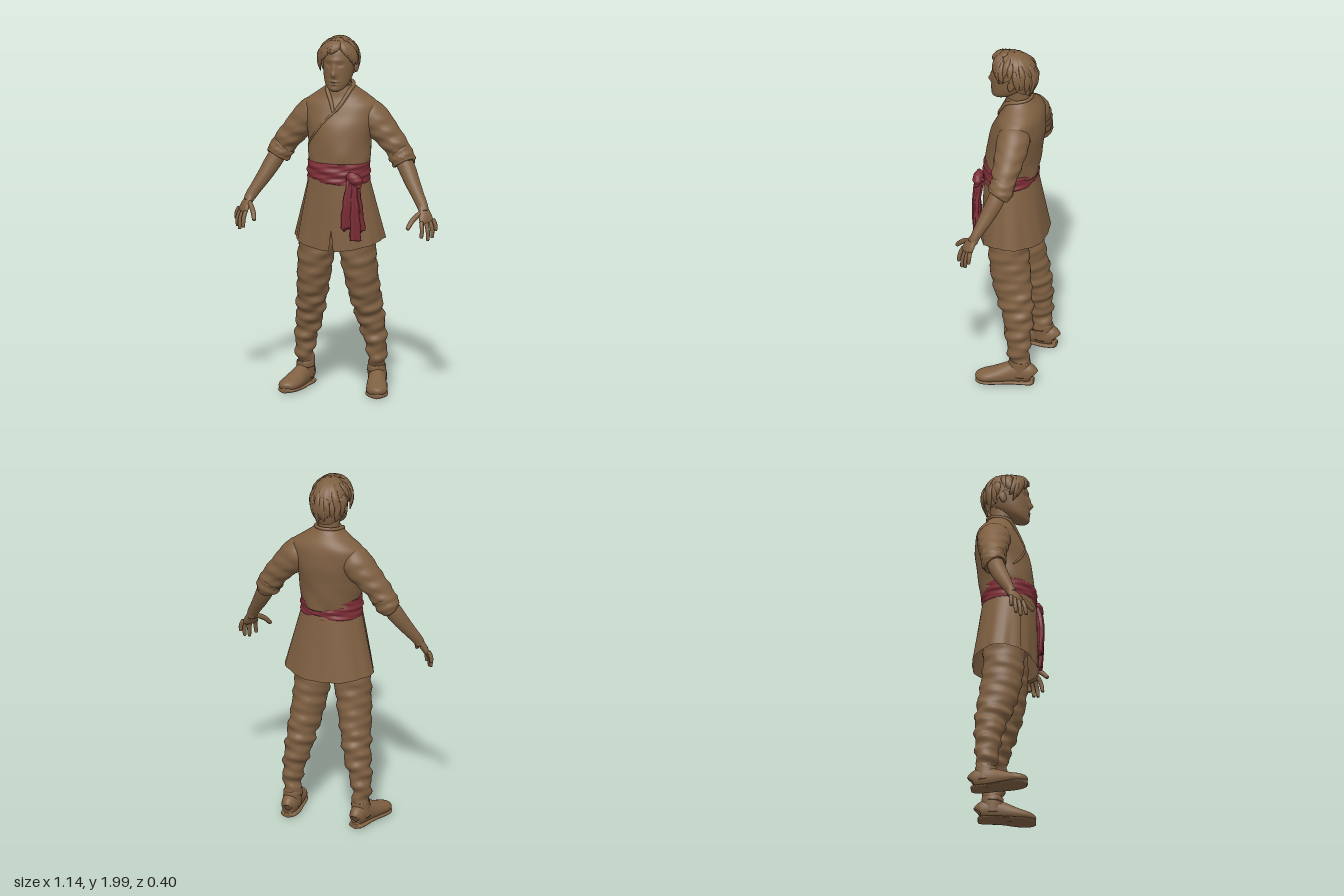
import * as THREE from 'three';

const V = (x, y, z) => new THREE.Vector3(x, y, z);
const brown = new THREE.MeshStandardMaterial({ color: 0x7f6042 });
brown.name = 'brown';
const red = new THREE.MeshStandardMaterial({ color: 0x7c2d36 });
red.name = 'sash red';
const cloth = brown;
cloth.side = red.side = THREE.DoubleSide;

// Joins rings of points into one smooth skin; closed rings may be capped.
function skin(rings, closed = true, caps = true) {
  const n = rings[0].length, pos = [], idx = [];
  rings.forEach(r => r.forEach(p => pos.push(p.x, p.y, p.z)));
  for (let i = 0; i < rings.length - 1; i++) {
    for (let j = 0; j < (closed ? n : n - 1); j++) {
      const a = i * n + j, b = i * n + (j + 1) % n;
      idx.push(a, b, a + n, b, b + n, a + n);
    }
  }
  if (closed && caps) {
    [0, rings.length - 1].forEach((row, end) => {
      const c = V(0, 0, 0), k = pos.length / 3;
      rings[row].forEach(p => c.addScaledVector(p, 1 / n));
      pos.push(c.x, c.y, c.z);
      for (let j = 0; j < n; j++) {
        const a = row * n + j, b = row * n + (j + 1) % n;
        idx.push(k, end ? a : b, end ? b : a);
      }
    });
  }
  const g = new THREE.BufferGeometry();
  g.setAttribute('position', new THREE.Float32BufferAttribute(pos, 3));
  g.setIndex(idx);
  g.computeVertexNormals();
  return g;
}

// Sweeps an ellipse through sections [x, y, z, a, b]; a lies along ref.
function sweep(sections, { ref = V(1, 0, 0), axis, rows = 24, seg = 24, warp } = {}) {
  const path = new THREE.CatmullRomCurve3(sections.map(s => V(s[0], s[1], s[2])), false, 'catmullrom', 0.5);
  const size = new THREE.CatmullRomCurve3(sections.map(s => V(s[3], s[4] ?? s[3], 0)), false, 'catmullrom', 0.5);
  const rings = [];
  for (let i = 0; i <= rows; i++) {
    const t = i / rows, c = path.getPoint(t), s = size.getPoint(t);
    const T = axis || path.getTangent(t);
    const A = ref.clone().addScaledVector(T, -ref.dot(T)).normalize();
    const B = T.clone().cross(A);
    rings.push(Array.from({ length: seg }, (_, j) => {
      const w = j / seg * Math.PI * 2;
      const p = c.clone().addScaledVector(A, Math.cos(w) * s.x).addScaledVector(B, Math.sin(w) * s.y);
      if (warp) warp(p, c, t, w);
      return p;
    }));
  }
  return skin(rings);
}

// Cloth folds: pushes points in and out in slanting waves.
const folds = (amp, fy, fx = 14, fz = 17) => (p, c, t) => {
  const d = p.clone().sub(c).normalize();
  const w = Math.sin(p.y * fy + p.x * fx + p.z * fz) + 0.6 * Math.sin(p.y * fy * 1.7 - p.x * fx * 1.5 + p.z * 9 + 2);
  p.addScaledVector(d, amp(t, p) * w);
};

function add(parent, name, geometry, material = brown) {
  const m = new THREE.Mesh(geometry, material);
  m.name = name;
  parent.add(m);
  return m;
}

const UP = V(0, 1, 0);
const upright = rows => rows.map(([y, z, a, b]) => [0, y, z, a, b]);

// Jacket profile: y, centre z, half width, half depth.
const TORSO = [[1.24, 0, .162, .143], [1.32, -.005, .168, .148], [1.42, -.018, .175, .15], [1.5, -.032, .19, .147],
  [1.56, -.045, .204, .132], [1.61, -.053, .2, .118], [1.65, -.056, .15, .1], [1.69, -.045, .096, .08], [1.715, -.037, .07, .07]];
function chest(x, y) {
  let i = 0;
  while (i < TORSO.length - 2 && TORSO[i + 1][0] < y) i++;
  const k = (y - TORSO[i][0]) / (TORSO[i + 1][0] - TORSO[i][0]);
  const [, z, a, b] = TORSO[i].map((v, n) => v + (TORSO[i + 1][n] - v) * k);
  return z + b * Math.sqrt(Math.max(0, 1 - (x / a) ** 2));
}

// Face relief: bumps [x, y, spread x, spread y, depth].
const FACE = [[0, 1.797, .014, .018, .021], [0, 1.83, .01, .025, .009], [.034, 1.85, .018, .012, -.011], [-.034, 1.85, .018, .012, -.011],
  [.034, 1.853, .011, .006, .005], [-.034, 1.853, .011, .006, .005], [0, 1.875, .05, .01, .004], [0, 1.757, .024, .006, .008],
  [0, 1.741, .02, .006, .007], [0, 1.749, .026, .003, -.004], [0, 1.715, .022, .012, .005]];
function faceWarp(p) {
  if (p.z < .04) return;
  let d = 0;
  for (const [x, y, sx, sy, k] of FACE) d += k * Math.exp(-(((p.x - x) / sx) ** 2) - ((p.y - y) / sy) ** 2);
  p.z += d;
}

// Hair shell: u turns round the head from the front, s runs crown to hairline.
const HAIRLINE = [1.925, 1.92, 1.89, 1.83, 1.86, 1.79, 1.765, 1.75, 1.745];
function hairPoint(u, s, grow = 1) {
  const f = Math.min(7.999, Math.abs(Math.atan2(Math.sin(u), Math.cos(u))) / Math.PI * 8), i = Math.floor(f);
  const low = HAIRLINE[i] + (HAIRLINE[i + 1] - HAIRLINE[i]) * (f - i), yc = 1.865, h = .122;
  const end = low > yc ? Math.acos((low - yc) / h) : Math.PI / 2 + (yc - low) / h;
  const a = s * end, down = Math.max(0, a - Math.PI / 2);
  const r = (down ? 1 - .2 * down * down : Math.sin(a)) * grow;
  return V(Math.sin(u) * .103 * r, yc + (down ? -down * h : Math.cos(a) * h * grow), Math.cos(u) * .13 * r - .008);
}

function buildHead(root) {
  const head = new THREE.Group();
  head.name = 'head';
  root.add(head);
  add(head, 'face', sweep(upright([[1.697, .08, .02, .025], [1.71, .068, .043, .046], [1.735, .045, .064, .071], [1.77, .02, .077, .097],
    [1.81, .005, .084, .112], [1.85, -.003, .088, .118], [1.89, -.008, .088, .118], [1.93, -.01, .08, .105], [1.96, -.01, .055, .075],
    [1.975, -.01, .02, .03]]), { axis: UP, rows: 80, seg: 72, warp: faceWarp }));
  add(head, 'neck', sweep([[0, 1.56, -.05, .08, .08], [0, 1.65, -.045, .063, .07], [0, 1.72, -.03, .058, .064], [0, 1.8, -.02, .06, .075]], { axis: UP }));
  for (const s of [-1, 1]) {
    const ear = add(head, 'ear', new THREE.SphereGeometry(1, 16, 12));
    ear.scale.set(.011, .034, .02);
    ear.position.set(s * .092, 1.822, -.018);
    ear.rotation.set(-.15, s * -.35, 0);
  }
  const rings = [];
  for (let i = 0; i <= 24; i++) {
    rings.push(Array.from({ length: 72 }, (_, j) => {
      const u = -j / 72 * Math.PI * 2, s = .02 + .98 * i / 24;
      return hairPoint(u, s, 1 + .022 * s * Math.sin(13 * u + 5 * s) + .014 * s * Math.sin(23 * u - 7 * s));
    }));
  }
  add(head, 'hairCap', skin(rings, true, false), cloth);
  // Overlapping locks sweep from the crown; a seeded sequence varies them.
  let seed = 7;
  const rnd = () => (seed = (seed * 16807) % 2147483647) / 2147483647;
  const lock = (u, s0, s1, twist, r, lift = 1.03) => {
    const sec = [0, .35, .7, 1].map((k, i) => {
      const p = hairPoint(u + twist * k, s0 + (s1 - s0) * k, lift + [-.03, .01, .015, .01][i]);
      return [p.x, p.y, p.z, r * [.6, 1, .8, .1][i], r * [.4, .5, .4, .08][i]];
    });
    add(head, 'hairLock', sweep(sec, { ref: V(Math.cos(u), 0, -Math.sin(u)), rows: 10, seg: 10 }));
  };
  for (let i = 0; i < 34; i++) lock(i * 2.4, .2 + .4 * rnd(), .85 + .18 * rnd(), (rnd() - .3) * .5, .014 + .008 * rnd(), 1);
  // Side-parted fringe
  for (let i = 0; i < 8; i++) lock(.3 - i * .17, .55, 1.08 + .1 * rnd(), -.5, .024, 1.05);
  for (let i = 0; i < 4; i++) lock(.4 + i * .2, .45, 1.02, .35, .022, 1.04);
}

function buildArm(side) {
  const arm = new THREE.Group(), ref = V(0, 0, 1);
  arm.name = side + 'Arm';
  add(arm, 'sleeve', sweep([[.12, 1.565, -.06, .07, .07], [.16, 1.54, -.06, .09, .086], [.205, 1.495, -.06, .088, .084], [.26, 1.435, -.057, .08, .073],
    [.31, 1.375, -.052, .07, .067], [.342, 1.322, -.047, .062, .062]], { ref, rows: 44, seg: 36, warp: folds(t => .0045 * t, 75, -30) }));
  add(arm, 'rolledCuff', sweep([[.322, 1.352, -.05, .058, .058], [.327, 1.345, -.049, .068, .068], [.342, 1.318, -.046, .068, .068],
    [.357, 1.292, -.042, .066, .064], [.36, 1.286, -.04, .05, .05]], { ref, rows: 20, seg: 32, warp: folds(() => .0025, 130, -60) }));
  add(arm, 'forearm', sweep([[.335, 1.33, -.045, .045], [.375, 1.262, -.025, .047, .047], [.415, 1.19, .005, .042, .041], [.455, 1.125, .035, .033, .034],
    [.485, 1.075, .058, .026, .03], [.495, 1.05, .068, .028, .025]], { ref }));
  const across = V(-.055, 0, .065);
  add(arm, 'palm', sweep([[.482, 1.085, .055, .024, .022], [.495, 1.055, .07, .032, .02], [.508, 1.025, .085, .042, .019], [.516, 1, .095, .043, .016],
    [.52, .99, .098, .034, .01]], { ref: across }));
  // Fingers from knuckle to tip, then the thumb
  [[[.545, 1.012, .066], [.559, .98, .068], [.56, .95, .07]], [[.532, 1.003, .084], [.547, .96, .09], [.547, .916, .094]],
    [[.515, 1, .103], [.528, .955, .113], [.529, .906, .118]], [[.494, 1.005, .122], [.502, .965, .138], [.501, .922, .146]],
    [[.484, 1.05, .085], [.45, 1.015, .138], [.432, .975, .176]]].forEach(([a, b, c], i) => {
    const r = i === 4 ? .014 : .0115;
    const end = c.map((v, k) => v + (c[k] - b[k]) * .08);
    add(arm, i === 4 ? 'thumb' : 'finger', sweep([[...a, r], [...b, r], [...c, r * .8], [...end, r * .25]], { ref: across, rows: 12, seg: 12 }));
  });
  return arm;
}

function buildLeg(side) {
  const leg = new THREE.Group();
  leg.name = side + 'Leg';
  add(leg, 'trouserLeg', sweep([[.195, .11, -.1, .044, .052], [.203, .2, -.095, .05, .061], [.192, .3, -.09, .062, .07], [.172, .4, -.082, .073, .083],
    [.156, .5, -.06, .08, .098], [.14, .6, -.036, .087, .108], [.127, .7, -.02, .094, .112], [.115, .8, -.01, .099, .112], [.1, .9, -.01, .1, .115],
    [.085, 1, -.01, .085, .11]], { rows: 90, seg: 40, warp: folds((t, p) => p.y < .55 ? .0055 : .003, 62, 18, 30) }));
  const shoe = [[.198, .06, -.18, .015, .02], [.199, .066, -.168, .038, .05], [.203, .072, -.11, .048, .066], [.214, .062, -.05, .05, .06],
    [.234, .046, .03, .057, .043], [.25, .038, .085, .055, .034], [.258, .034, .118, .037, .024], [.26, .03, .131, .01, .01]];
  add(leg, 'shoe', sweep(shoe, { rows: 32, seg: 32, warp: p => { p.y = Math.max(p.y, .016); } }));
  add(leg, 'shoeSole', sweep(shoe.map(([x, , z, a]) => [x, .016 - .002 * (z > 0), z, a + .004, .014]),
    { rows: 32, seg: 20, warp: p => { p.y = Math.max(p.y, p.z > -.09 && p.z < -.01 ? .012 : 0); } }));
  add(leg, 'shoeCollar', sweep([[.205, .05, -.1, .05, .06], [.2, .11, -.1, .05, .061], [.199, .137, -.1, .049, .06], [.199, .142, -.1, .043, .054]]));
  return leg;
}

function buildTunic(root) {
  add(root, 'jacket', sweep(upright(TORSO), { axis: UP, rows: 70, seg: 80, warp: folds((t, p) => .0035 * Math.max(.25, (1.5 - p.y) * 4), 22, 24, 14) }));
  // Collar and slanting overlap edge
  const on = (x, y, a, b) => [x, y, chest(x, y) + .001, a, b];
  add(root, 'collar', sweep([on(-.012, 1.575, .008), on(-.035, 1.635, .011), on(-.064, 1.69, .011), [-.07, 1.71, -.045, .01], [-.045, 1.72, -.095, .009],
    [0, 1.722, -.11, .009], [.045, 1.72, -.095, .009], [.07, 1.71, -.045, .01], on(.064, 1.69, .011), on(.035, 1.635, .011), on(0, 1.585, .009)],
  { ref: V(.1, .3, .9), rows: 60, seg: 12 }));
  add(root, 'overlapEdge', sweep([on(.01, 1.595, .007), on(-.045, 1.54, .006), on(-.1, 1.475, .006), on(-.14, 1.42, .006), on(-.16, 1.385, .004)],
    { ref: V(0, 0, 1), rows: 24, seg: 10 }));
  // Skirt panels: the back wraps round, two front flaps part at the middle
  const panel = (name, from, to, off) => {
    const rings = [];
    for (let i = 0; i <= 24; i++) {
      const v = i / 24, u0 = from(v), u1 = to(v);
      rings.push(Array.from({ length: 49 }, (_, j) => {
        const u = u1 + (u0 - u1) * j / 48, c = Math.cos(u);
        const hem = .867 - (c > 0 ? .048 : .022) * c * c;
        const k = 1 + .018 * v * Math.sin(7 * u + 1) + .01 * v * Math.sin(16 * u);
        return V(Math.sin(u) * ((.163 + .088 * v) * k + off), 1.22 + (hem - 1.22) * v, .005 - .023 * v + c * ((.142 + .036 * v) * k + off));
      }));
    }
    add(root, name, skin(rings, false), cloth);
  };
  panel('skirtBack', () => .85, () => Math.PI * 2 - .85, 0);
  panel('leftSkirtFlap', v => -.06 + .1 * v * v, v => 1.05 - .1 * v, .005);
  panel('rightSkirtFlap', v => -1.05 + .1 * v, v => .03 - .09 * v * v, .007);
}

function buildSash(root) {
  const sash = new THREE.Group();
  sash.name = 'sash';
  root.add(sash);
  add(sash, 'waistBand', sweep(upright([[1.185, .006, .155, .135], [1.19, .008, .17, .147], [1.22, .008, .173, .149], [1.26, .008, .172, .15],
    [1.295, .006, .168, .147], [1.302, .006, .155, .137]]), { axis: UP, rows: 36, seg: 96, warp: folds(() => .003, 125, 22, 12) }), red);
  const knot = add(sash, 'knot', sweep([[.095, 1.255, .14, .015], [.105, 1.245, .15, .03, .022], [.13, 1.225, .152, .036, .026], [.15, 1.2, .148, .026, .02],
    [.155, 1.19, .14, .01]], { ref: V(0, 1, 0), warp: folds(() => .003, 110) }), red);
  knot.position.z = .004;
  // Hanging ends with long pleats
  [[.1, .085, .955, .166, .034], [.128, .135, .89, .16, .032], [.14, .163, .945, .148, .024]].forEach(([x, xe, y, z, a]) => {
    add(sash, 'sashEnd', sweep([[xe, y, z, a * .9, .012], [xe, y + .012, z + .001, a, .015], [(x + xe) / 2, (y + 1.22) / 2, z + .008, a * .85, .016],
      [x, 1.18, z - .002, a * .65, .018], [x, 1.235, z - .016, a * .5, .014]],
    { rows: 30, seg: 40, warp: (p, c, t, w) => { p.z += .004 * Math.sin(5 * w + 2 * t); p.x += .002 * Math.sin(p.y * 60); } }), red);
  });
}

export function createModel() {
  const root = new THREE.Group();
  root.name = 'figure';
  buildHead(root);
  buildTunic(root);
  buildSash(root);
  const left = new THREE.Group(), right = new THREE.Group();
  left.name = 'leftLimbs';
  right.name = 'rightLimbs';
  right.scale.x = -1;
  left.add(buildArm('left'));
  right.add(buildArm('right'));
  const leftLeg = buildLeg('left'), rightLeg = buildLeg('right');
  leftLeg.position.x = -.015;
  rightLeg.position.x = .015;
  left.add(leftLeg);
  right.add(rightLeg);
  root.add(left, right);
  return root;
}
